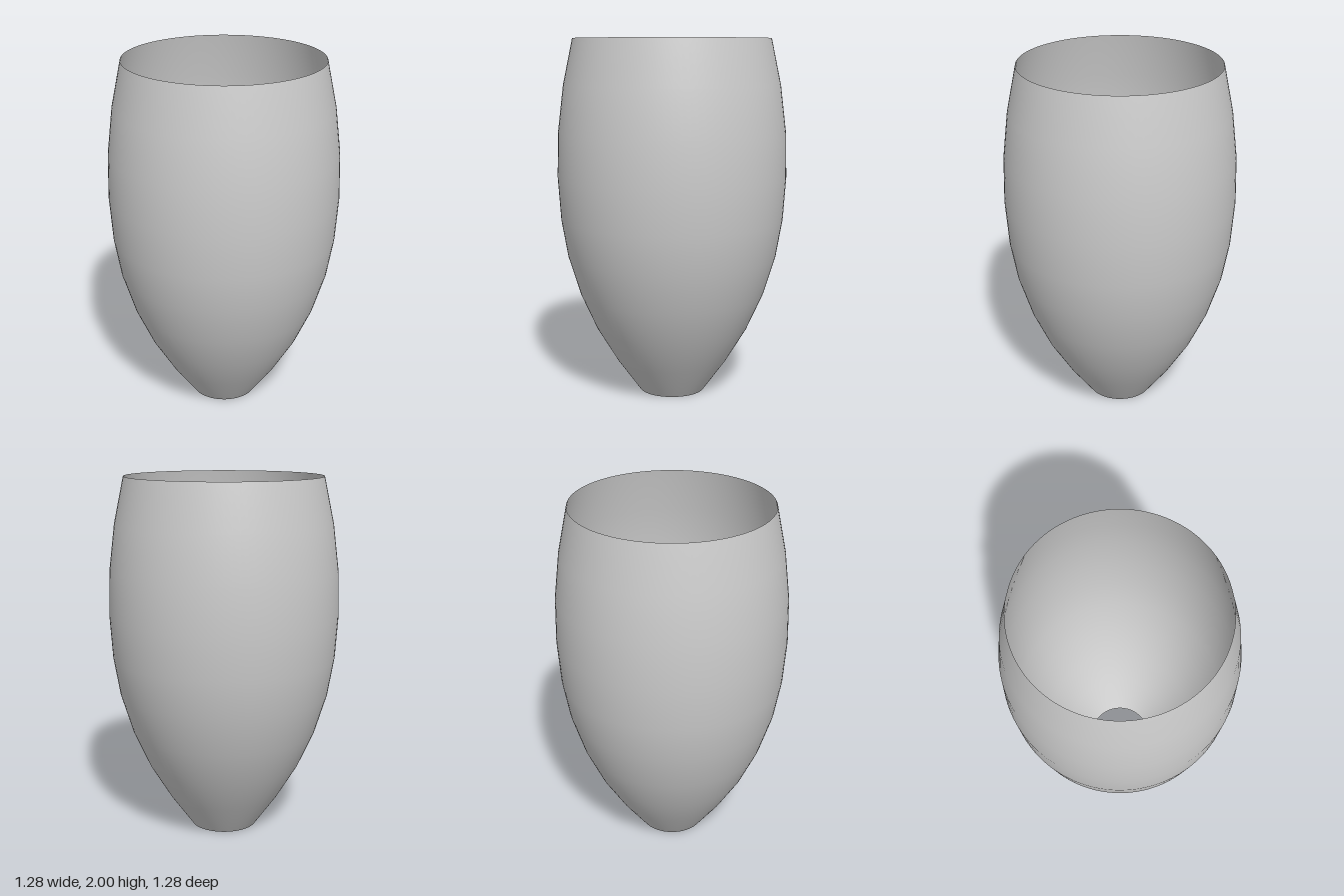
import * as THREE from 'three';

// Open-ended vase shell: one thin surface, turned from a profile of [radius, height]
const PROFILE = [
  [0.185, 0], [0.315, 0.18], [0.43, 0.37], [0.52, 0.57], [0.588, 0.79],
  [0.624, 1.0], [0.64, 1.24], [0.633, 1.49], [0.602, 1.745], [0.548, 2],
];

export function createModel() {
  const group = new THREE.Group();
  group.name = 'vase';

  const points = PROFILE.map(([r, y]) => new THREE.Vector2(r, y));
  const shell = new THREE.Mesh(
    new THREE.LatheGeometry(points, 96),
    new THREE.MeshStandardMaterial({ color: 0xcccccc, side: THREE.DoubleSide }),
  );
  shell.name = 'vaseShell';
  group.add(shell);

  return group;
}
